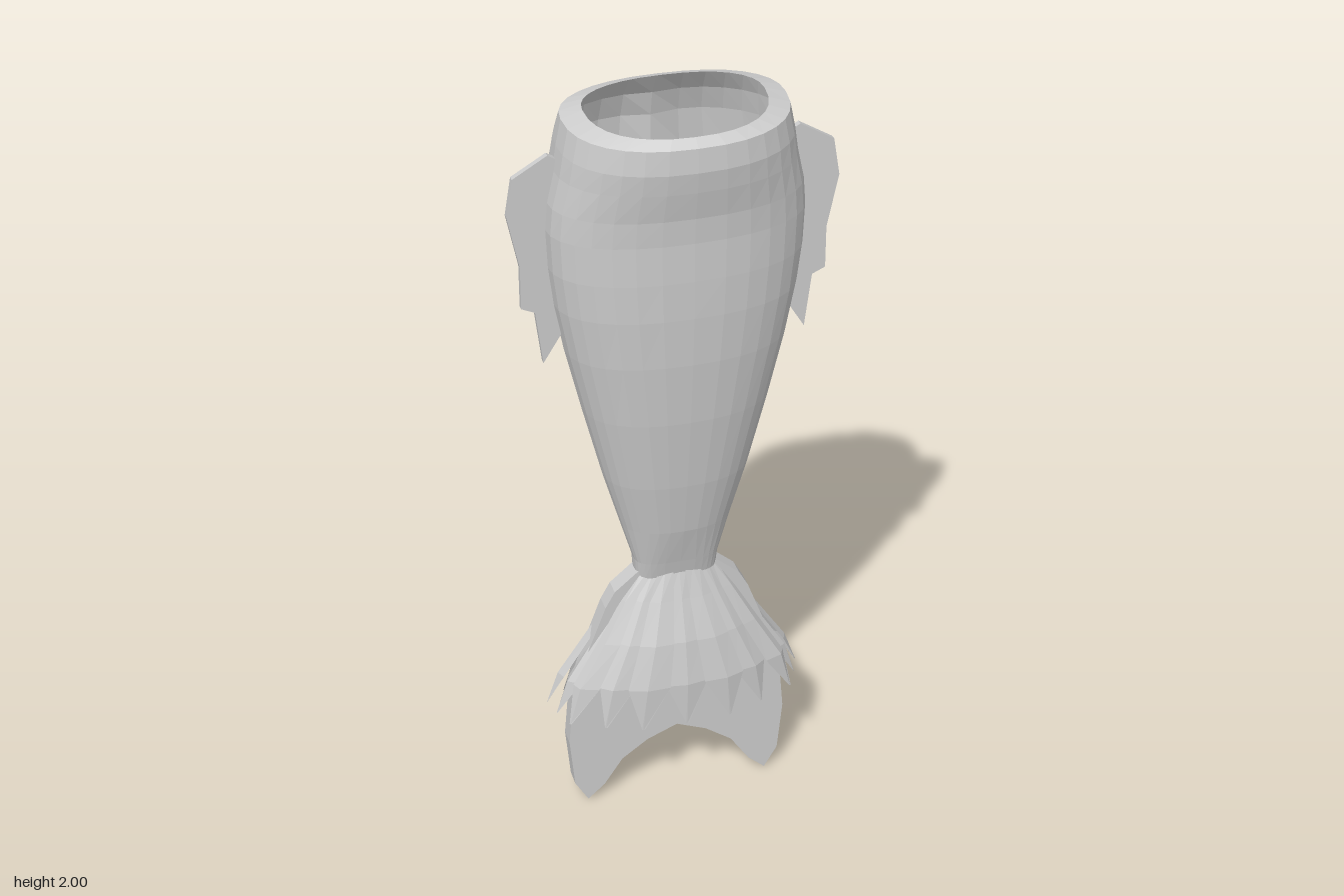
import * as THREE from 'three';

const material = new THREE.MeshStandardMaterial({
  color: 0xcccccc, flatShading: true, side: THREE.DoubleSide,
});

function addMesh(parent, name, geometry) {
  const mesh = new THREE.Mesh(geometry, material);
  mesh.name = name;
  parent.add(mesh);
  return mesh;
}

// Surface through rows of [x, y, z] points, listed from top to bottom
function loft(rows, closed) {
  const n = rows[0].length, index = [];
  for (let i = 0; i < rows.length - 1; i++) {
    for (let j = 0; j < (closed ? n : n - 1); j++) {
      const k = (j + 1) % n;
      const a = i * n + j, b = i * n + k, c = (i + 1) * n + k, d = (i + 1) * n + j;
      index.push(a, b, c, a, c, d);
    }
  }
  const geometry = new THREE.BufferGeometry();
  geometry.setAttribute('position', new THREE.Float32BufferAttribute(rows.flat(2), 3));
  geometry.setIndex(index);
  geometry.computeVertexNormals();
  return geometry;
}

// Flat outline with a thickness, centred on its plane
function slab(points, depth) {
  const shape = new THREE.Shape(points.map(([x, y]) => new THREE.Vector2(x, y)));
  return new THREE.ExtrudeGeometry(shape, { depth, bevelEnabled: false })
    .translate(0, 0, -depth / 2);
}

// Hollow tail body: y, half width, front z, back z, cleft depth, tilt of the ring
function bodyGeometry() {
  const sections = [
    [1.99, 0.218, 0.19, -0.09, 0, 0.11],
    [1.975, 0.27, 0.215, -0.125, 0, 0.11],
    [1.91, 0.283, 0.22, -0.175, 0.01, 0.08],
    [1.85, 0.292, 0.212, -0.2, 0.02, 0.05],
    [1.77, 0.31, 0.197, -0.208, 0.028, 0.02],
    [1.7, 0.316, 0.192, -0.182, 0.028, 0],
    [1.6, 0.312, 0.192, -0.135, 0.015, 0],
    [1.5, 0.3, 0.19, -0.11, 0.005, 0],
    [1.37, 0.275, 0.182, -0.09, 0, 0],
    [1.2, 0.235, 0.165, -0.073, 0, 0],
    [1.0, 0.185, 0.137, -0.05, 0, 0],
    [0.85, 0.142, 0.11, -0.032, 0, 0],
    [0.74, 0.11, 0.08, -0.022, 0, 0],
    [0.69, 0.106, 0.068, -0.022, 0, 0],
  ];
  const sides = 32;
  const power = (v, e) => Math.sign(v) * Math.abs(v) ** e;
  return loft(sections.map(([y, w, front, back, cleft, tilt]) => {
    const e = y < 0.8 ? 0.62 : 0.86;
    const mid = 0.02;
    return Array.from({ length: sides }, (_, j) => {
      const a = (j / sides) * Math.PI * 2;
      const x = w * power(Math.cos(a), e);
      const s = power(Math.sin(a), e);
      let z = mid + s * (s > 0 ? front - mid : mid - back);
      if (s < 0) z += cleft * Math.exp(-((x / 0.06) ** 2));
      return [x, y - tilt * z, z];
    });
  }), true);
}

// One pointed petal of the skirt, creased along its middle
function petalGeometry(angle, halfAngle, tipY, lift) {
  // y, x radius, z radius, share of the full width
  const steps = [
    [0.71, 0.1, 0.042, 0.95],
    [0.63, 0.15, 0.065, 1],
    [0.52, 0.215, 0.1, 1],
    [0.4, 0.29, 0.121, 0.92],
    [tipY, 0.335, 0.124, 0.06],
  ];
  return loft(steps.map(([y, rx, rz, share], i) => [-1, 0, 1].map((side) => {
    const a = angle + side * halfAngle * share;
    const grow = 1 + lift + (side === 0 && i > 0 && i < 4 ? 0.05 : 0);
    return [rx * grow * Math.cos(a), y, 0.026 + rz * grow * Math.sin(a)];
  })), false);
}

export function createModel() {
  const model = new THREE.Group();
  model.name = 'fishTail';

  addMesh(model, 'body', bodyGeometry());

  // Skirt of overlapping petals around the narrow end
  const skirt = new THREE.Group();
  skirt.name = 'petalSkirt';
  model.add(skirt);
  const count = 18;
  for (let i = 0; i < count; i++) {
    const a = ((i + 0.5) / count) * Math.PI * 2;
    const tipY = Math.sin(a) > 0 ? 0.31 - 0.035 * Math.sin(a) : 0.31;
    addMesh(skirt, 'petal', petalGeometry(a, 0.21, tipY, i % 2 ? 0.03 : -0.02));
  }

  // Forked tail fluke
  const half = [
    [0.1, 0.71], [0.165, 0.655], [0.19, 0.61], [0.25, 0.45], [0.28, 0.35],
    [0.293, 0.2], [0.28, 0.06], [0.245, 0.0], [0.2, 0.04], [0.15, 0.115], [0.08, 0.165],
  ];
  const mirrored = half.map(([x, y]) => [-x, y]).reverse();
  addMesh(model, 'fluke', slab([...half, [0, 0.198], ...mirrored], 0.048))
    .position.z = 0.025;

  // Side fins
  const finOutline = [
    [0.27, 1.87], [0.305, 1.89], [0.39, 1.84], [0.406, 1.745], [0.378, 1.61], [0.378, 1.5],
    [0.345, 1.485], [0.328, 1.345], [0.275, 1.43], [0.27, 1.6],
  ];
  for (const [name, s] of [['leftFin', 1], ['rightFin', -1]]) {
    const points = finOutline.map(([x, y]) => [s * x, y]);
    addMesh(model, name, slab(points, 0.016)).position.z = 0.022;
  }

  // Back fin, drawn as [distance behind centre, height] and turned to face backward
  const backFin = slab([
    [0.15, 1.76], [0.205, 1.765], [0.215, 1.7], [0.198, 1.57], [0.172, 1.44], [0.152, 1.34],
    [0.166, 1.27], [0.176, 1.19], [0.135, 1.23], [0.07, 1.245], [0.08, 1.5],
  ], 0.018);
  backFin.rotateY(Math.PI / 2);
  addMesh(model, 'backFin', backFin);

  return model;
}
